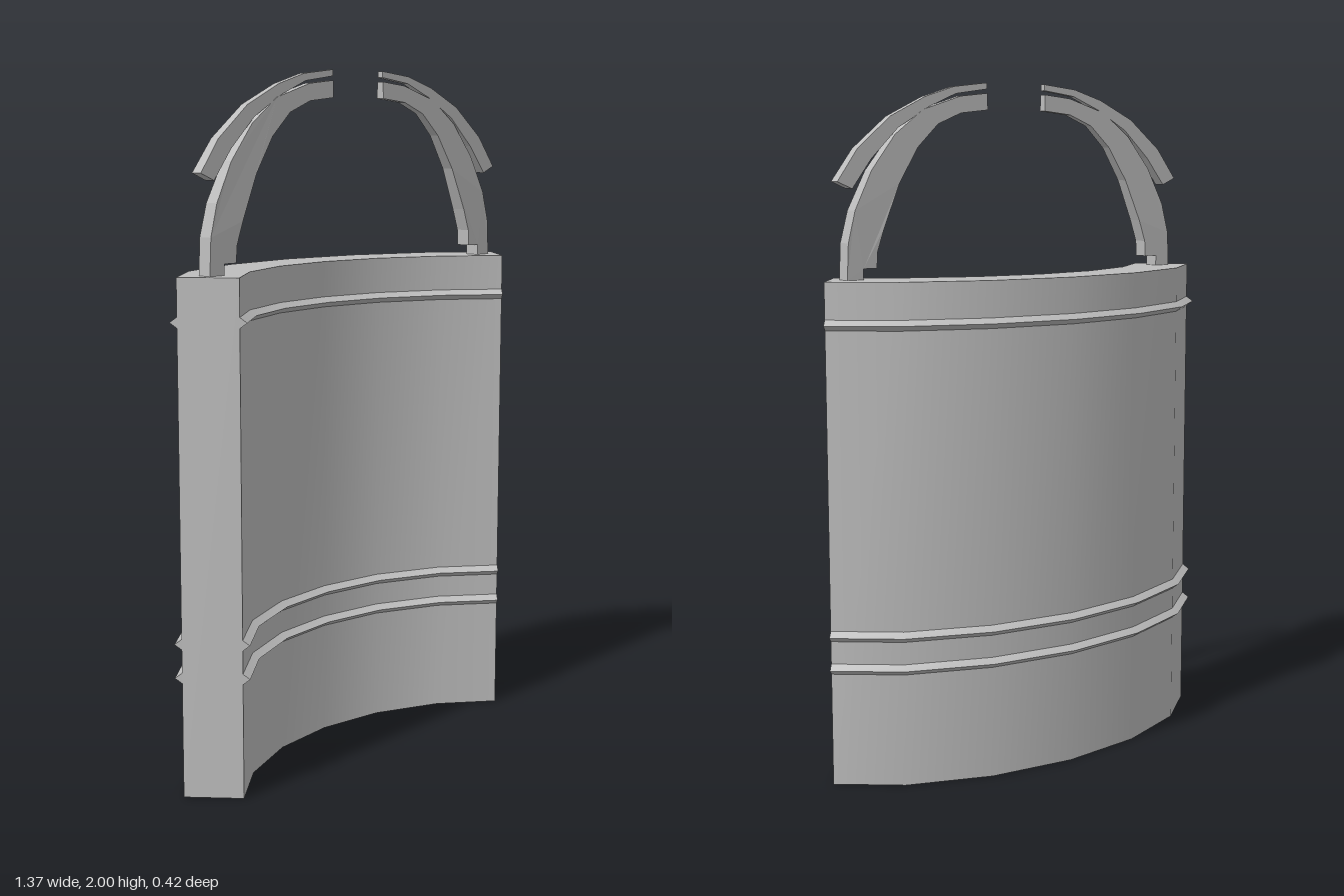
import * as THREE from 'three';
import { mergeGeometries } from 'three/addons/utils/BufferGeometryUtils.js';

const HEIGHT = 1.447;
const ARC_CENTRE_Z = 0.826;

// Half plans (x, z) of the curved panel, from the middle to the end
const mirrorPlan = (half) => [...half.slice(1).reverse().map(([x, z]) => [-x, z]), ...half];
const outerPlan = mirrorPlan([[0, -0.188], [0.265, -0.157], [0.508, -0.066], [0.67, 0.066]]);
const innerPlan = mirrorPlan([[0, -0.034], [0.21, -0.008], [0.41, 0.075], [0.562, 0.195]]);

// Smooth strip between two rows of points, facing +z when rows run left to right, low to high
function sheet(low, high) {
  const n = low.length;
  const index = [];
  for (let i = 0; i < n - 1; i++) index.push(i, i + 1, n + i + 1, i, n + i + 1, n + i);
  const geometry = new THREE.BufferGeometry();
  geometry.setAttribute('position', new THREE.Float32BufferAttribute([...low, ...high].flat(), 3));
  geometry.setIndex(index);
  geometry.computeVertexNormals();
  return geometry;
}

// Plan at a height, pushed away from (or towards) the arc centre
function row(plan, y, push = 0) {
  return plan.map(([x, z]) => {
    const length = Math.hypot(x, z - ARC_CENTRE_Z);
    return [x + (x / length) * push, y, z + ((z - ARC_CENTRE_Z) / length) * push];
  });
}

// Triangular ridge following a wall
function ridge(plan, y, push, outside) {
  const low = row(plan, y - 0.015);
  const tip = row(plan, y, push);
  const high = row(plan, y + 0.015);
  if (outside) [low, tip, high].forEach((r) => r.reverse());
  const ends = [0, plan.length - 1].map((i) => sheet([low[i], tip[i]], [high[i], tip[i]]));
  return mergeGeometries([sheet(low, tip), sheet(tip, high), ...ends]);
}

// Flat outline extruded in z, with a thickness that narrows towards the top
function taperedPlate(outline, halfLow, halfHigh, yLow, yHigh) {
  const shape = new THREE.Shape(outline.map(([x, y]) => new THREE.Vector2(x, y)));
  const geometry = new THREE.ExtrudeGeometry(shape, { depth: 1, bevelEnabled: false });
  const position = geometry.attributes.position;
  for (let i = 0; i < position.count; i++) {
    const t = THREE.MathUtils.clamp((position.getY(i) - yLow) / (yHigh - yLow), 0, 1);
    const half = THREE.MathUtils.lerp(halfLow, halfHigh, t);
    position.setZ(i, 0.092 + (position.getZ(i) - 0.5) * 2 * half);
  }
  geometry.computeVertexNormals();
  return geometry;
}

// Outlines for the +x side
const hoopOutline = [
  [0.54, HEIGHT], [0.593, HEIGHT], [0.588, 1.55], [0.564, 1.64], [0.507, 1.75], [0.426, 1.85],
  [0.33, 1.92], [0.2, 1.96], [0.105, 1.97],
  [0.105, 1.922], [0.2, 1.912], [0.28, 1.88], [0.35, 1.815], [0.415, 1.715], [0.47, 1.59],
  [0.493, 1.525], [0.496, 1.478], [0.54, 1.478],
];
const guardOutline = [
  [0.57, 1.7], [0.617, 1.72], [0.55, 1.81], [0.44, 1.9], [0.32, 1.957], [0.22, 1.987], [0.105, 2],
  [0.105, 1.982], [0.215, 1.967], [0.31, 1.928], [0.415, 1.868], [0.505, 1.783],
];

export function createModel() {
  const model = new THREE.Group();
  const grey = new THREE.MeshStandardMaterial({ color: 0xbdbdbd, side: THREE.DoubleSide });
  grey.name = 'grey';
  const add = (name, geometry) => {
    const mesh = new THREE.Mesh(geometry, grey);
    mesh.name = name;
    model.add(mesh);
  };

  // Curved hollow panel, open underneath
  const [in0, in1] = [row(innerPlan, 0), row(innerPlan, HEIGHT)];
  const [out0, out1] = [row(outerPlan, 0), row(outerPlan, HEIGHT)];
  const last = in0.length - 1;
  add('frontWall', sheet(in0, in1));
  add('backWall', sheet([...out0].reverse(), [...out1].reverse()));
  add('topCap', sheet(in1, out1));
  add('leftEnd', sheet([in0[last], out0[last]], [in1[last], out1[last]]));
  add('rightEnd', sheet([out0[0], in0[0]], [out1[0], in1[0]]));

  // Horizontal ridges on both walls
  for (const y of [0.344, 0.44, 1.327]) {
    add('frontRidge', ridge(innerPlan, y, -0.02, false));
    add('backRidge', ridge(outerPlan, y, 0.02, true));
  }

  // Hoop halves with an outer guard strip, mirrored
  for (const [side, sign] of [['left', 1], ['right', -1]]) {
    const place = (outline) => outline.map(([x, y]) => [sign * x, y]);
    add(side + 'Hoop', taperedPlate(place(hoopOutline), 0.022, 0.011, 1.6, 1.97));
    add(side + 'HoopGuard', taperedPlate(place(guardOutline), 0.018, 0.009, 1.7, 2));
  }
  return model;
}
